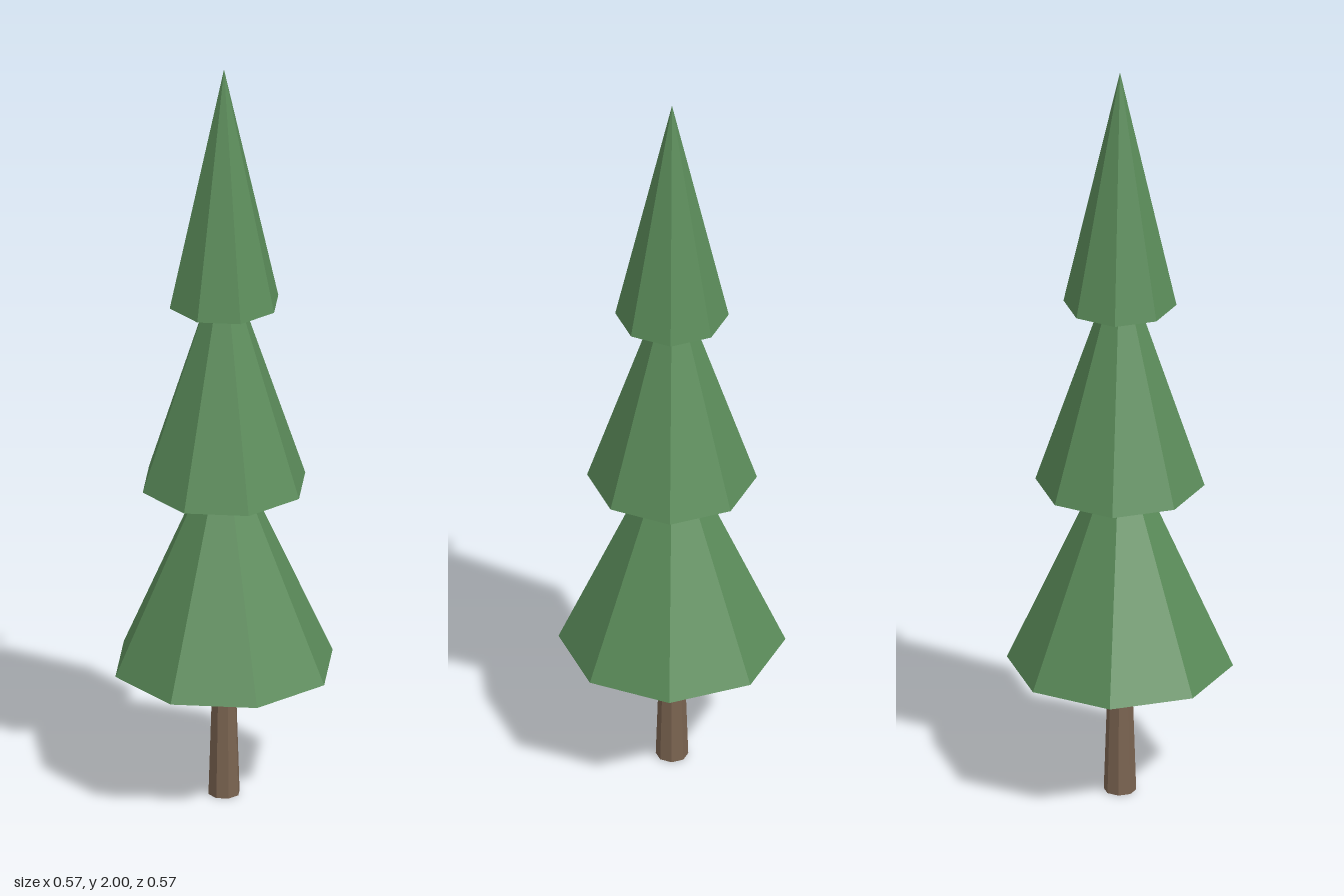
import * as THREE from 'three';

export function createModel() {
  const tree = new THREE.Group();
  tree.name = 'pineTree';
  const leaf = new THREE.MeshStandardMaterial({ color: 0x5b8c5a, flatShading: true });
  const bark = new THREE.MeshStandardMaterial({ color: 0x7a6350, flatShading: true });

  const add = (name, geometry, material, baseY, height) => {
    const mesh = new THREE.Mesh(geometry, material);
    mesh.name = name;
    mesh.position.y = baseY + height / 2;
    tree.add(mesh);
  };

  // Tapered trunk, running slightly into the lowest tier
  const trunkHeight = 0.43;
  add('trunk', new THREE.CylinderGeometry(0.027, 0.041, trunkHeight, 8), bark, 0, trunkHeight);

  // Three overlapping eight-sided foliage cones
  const tierHeight = 0.643;
  [
    ['lowerFoliage', 0.286, 0.357],
    ['middleFoliage', 0.214, 0.857],
    ['upperFoliage', 0.143, 1.357],
  ].forEach(([name, radius, baseY]) =>
    add(name, new THREE.ConeGeometry(radius, tierHeight, 8), leaf, baseY, tierHeight));

  return tree;
}
